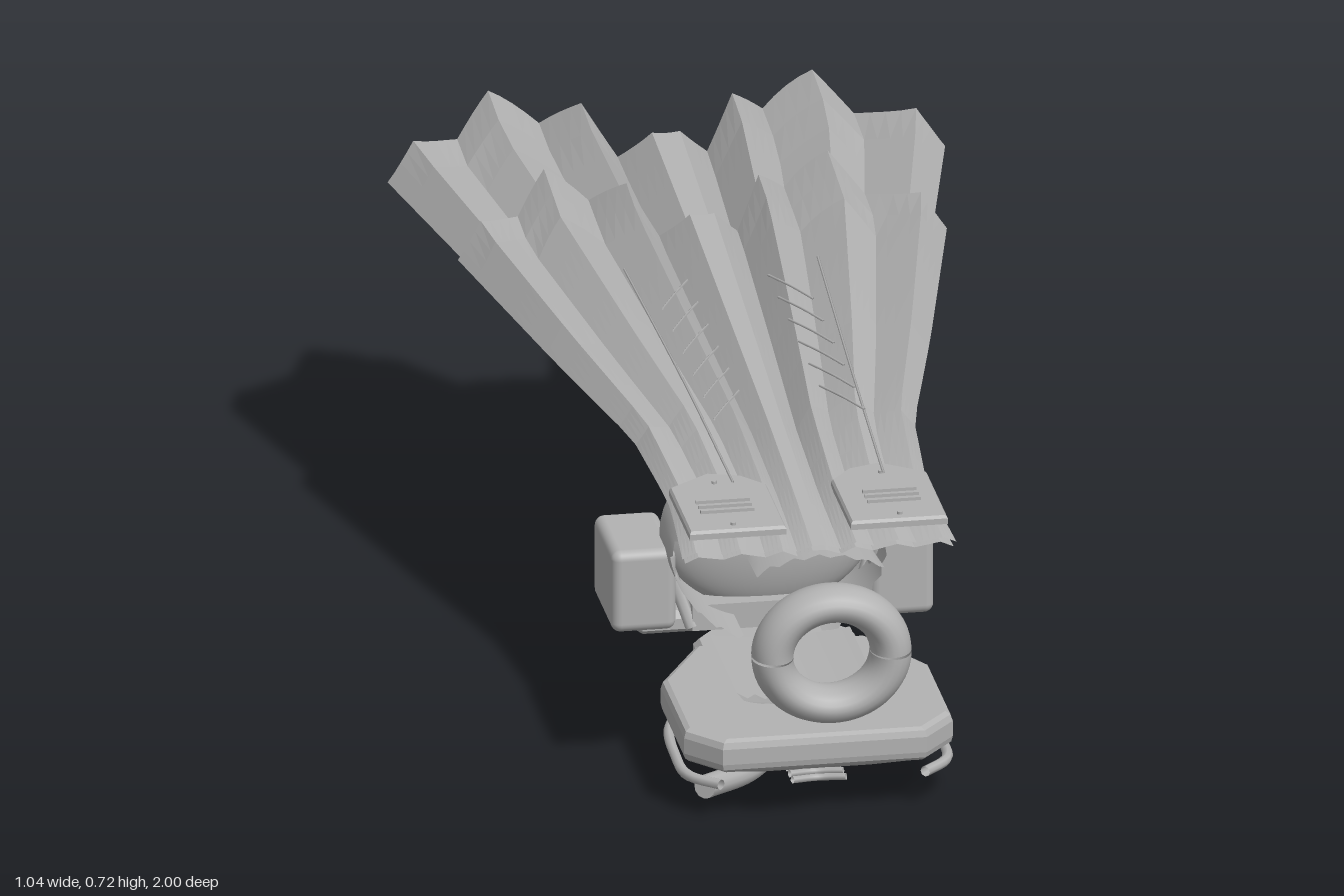
import * as THREE from 'three';
import { RoundedBoxGeometry } from 'three/addons/geometries/RoundedBoxGeometry.js';

const lerp = THREE.MathUtils.lerp;
const grey = new THREE.MeshStandardMaterial({ color: 0xb2b2b2, side: THREE.DoubleSide });
grey.name = 'plain grey';

// Piecewise linear lookup through [key, value] pairs with rising keys
function lookup(pairs, k) {
  if (k <= pairs[0][0]) return pairs[0][1];
  for (let i = 1; i < pairs.length; i++) {
    const [a, va] = pairs[i - 1], [b, vb] = pairs[i];
    if (k <= b) return lerp(va, vb, (k - a) / (b - a));
  }
  return pairs[pairs.length - 1][1];
}

// Faceted or smooth grid surface from rows of [x, y, z] points
function grid(rows, { closed = false, caps = false, smooth = false } = {}) {
  const pos = [], index = [], n = rows[0].length;
  rows.forEach(r => r.forEach(p => pos.push(...p)));
  for (let i = 0; i < rows.length - 1; i++) {
    for (let j = 0; j < (closed ? n : n - 1); j++) {
      const a = i * n + j, b = i * n + (j + 1) % n;
      index.push(a, b, b + n, a, b + n, a + n);
    }
  }
  if (caps) {
    const last = (rows.length - 1) * n;
    for (let j = 1; j < n - 1; j++) {
      index.push(0, j + 1, j, last, last + j, last + j + 1);
    }
  }
  let g = new THREE.BufferGeometry();
  g.setAttribute('position', new THREE.Float32BufferAttribute(pos, 3));
  g.setIndex(index);
  if (!smooth) g = g.toNonIndexed();
  g.computeVertexNormals();
  return g;
}

// Solid made of a plan outline stacked at levels of [y, scale]; the plan runs counterclockwise from above
function stack(plan, levels, cx, cz) {
  return grid(levels.map(([y, s]) => plan.map(([x, z]) =>
    [cx + (x - cx) * s, y, cz + (z - cz) * s])), { closed: true, caps: true });
}

// Mirror a plan to side s, keeping its direction
const mirrorPlan = (plan, s) => (s > 0 ? plan : plan.map(([x, z]) => [-x, z]).reverse());

function tube(points, r, sides = 6, steps = 16) {
  const path = new THREE.CatmullRomCurve3(points.map(p => new THREE.Vector3(...p)));
  return new THREE.TubeGeometry(path, steps, r, sides);
}

// Pleated cape layer; pleat heights run from centre to edge
const PLEATS = [[0, 0.8], [0.05, 0.8], [0.16, 0], [0.27, 1], [0.4, 0.2], [0.58, 1], [0.71, 0.25], [0.9, 0.9], [1, 0]];
function capeLayer({ width, base, slope, hemZ, hemDip, gain }) {
  const us = [];
  for (let i = 0; i < PLEATS.length - 1; i++) {
    for (let k = 0; k < 4; k++) us.push(lerp(PLEATS[i][0], PLEATS[i + 1][0], k / 4));
  }
  us.push(1);
  const all = [...us.slice(1).reverse().map(u => -u), ...us];
  const rows = [];
  for (let i = 0; i <= 16; i++) {
    rows.push(all.map(u => {
      const a = Math.abs(u);
      const hem = hemZ - hemDip * Math.sin(Math.PI * a) ** 2;
      const z = lerp(0.82, hem, i / 16), run = 0.82 - z;
      return [u * lookup(width, z), base + slope * run + (0.012 + gain * run) * lookup(PLEATS, a), z];
    }));
  }
  return grid(rows);
}

export function createModel() {
  const model = new THREE.Group();
  const add = (name, geometry, parent = model) => {
    const m = new THREE.Mesh(geometry, grey);
    m.name = name;
    parent.add(m);
    return m;
  };

  // Two overlapping cape layers
  add('longCape', capeLayer({
    width: [[-0.82, 0.52], [-0.43, 0.425], [0, 0.32], [0.3, 0.255], [0.6, 0.235], [0.82, 0.25]],
    base: 0.497, slope: 0.075, hemZ: -0.815, hemDip: 0.185, gain: 0.04,
  }));
  add('shortCape', capeLayer({
    width: [[-0.43, 0.455], [0, 0.35], [0.2, 0.297], [0.33, 0.262], [0.6, 0.24], [0.82, 0.255]],
    base: 0.506, slope: 0.087, hemZ: -0.43, hemDip: 0.19, gain: 0.048,
  }));

  // Collar ring in two halves with a seam at each side
  for (const half of [0, 1]) {
    const ring = new THREE.TorusGeometry(0.11, 0.0385, 20, 32, Math.PI - 0.04);
    ring.rotateZ(0.02 + half * Math.PI).scale(1, 0.9, 1.33);
    add('collarRing', ring).position.set(0, 0.355, 0.948);
  }

  // Upright lens behind the ring
  const lens = add('lens', new THREE.SphereGeometry(1, 40, 24));
  lens.scale.set(0.2, 0.163, 0.06);
  lens.position.set(0, 0.335, 0.26);

  // Torn front shell: a short sleeve with a long tongue at the top
  const shell = [];
  for (let i = 0; i <= 8; i++) {
    const row = [];
    for (let j = 0; j <= 72; j++) {
      const a = -1.2 + (Math.PI + 2.4) * j / 72, s = Math.sin(a);
      const jag = (j % 3) * 0.012;
      const front = jag + (s > 0.8 ? 0.82 : lookup([[-0.9, 0.43], [-0.5, 0.39], [0, 0.37], [0.5, 0.38], [0.8, 0.44]], s));
      const z = lerp(0.26, front, i / 8);
      const flare = s < 0 ? 1 : lookup([[0.26, 1], [0.42, 0.8], [0.85, 1.05]], z);
      row.push([0.2 * lerp(1, flare, Math.max(s, 0)) * Math.cos(a), 0.335 + 0.158 * flare * s, z]);
    }
    shell.push(row);
  }
  add('frontShell', grid(shell, { smooth: true }));

  // Torn sheet lying on the base
  const scrap = [];
  for (let i = 0; i <= 6; i++) {
    const row = [];
    for (let j = 0; j <= 16; j++) {
      const x = -0.13 + 0.26 * j / 16, z = lerp(0.4, 0.83 + (j % 2) * 0.035, i / 6);
      row.push([x, 0.17 + 0.6 * x * x + (z > 0.72 ? (z - 0.72) * 0.35 : 0), z]);
    }
    scrap.push(row);
  }
  add('tornSheet', grid(scrap));

  // Open curved band behind the lens with ragged sides
  const band = [[0.26, 0.46], [0.16, 0.49], [0.06, 0.505], [-0.02, 0.49], [-0.06, 0.43],
    [-0.085, 0.36], [-0.095, 0.3], [-0.075, 0.23], [-0.03, 0.18], [0.08, 0.168]];
  const bandRows = band.map(([z, y], i) => {
    const w = 0.075 + (i % 2) * 0.035, row = [];
    for (let j = 0; j <= 8; j++) {
      const t = j / 4 - 1, k = 1 - 0.16 * t * t;
      row.push([w * t, 0.335 + (y - 0.335) * k, 0.1 + (z - 0.1) * k]);
    }
    return row;
  });
  add('rearBand', grid(bandRows));
  for (let i = 0; i < 3; i++) {
    const spike = add('bandSpike', new THREE.ConeGeometry(0.022, 0.05, 3));
    spike.position.set((i % 2 ? 1 : -1) * 0.05, 0.25 + i * 0.045, -0.1);
    spike.rotation.x = -Math.PI / 2;
  }

  // Chamfered base with a tapered pan below
  const plan = [[-0.19, 0.88], [0.19, 0.88], [0.25, 0.81], [0.25, 0.56], [0.16, 0.4], [-0.16, 0.4], [-0.25, 0.56], [-0.25, 0.81]];
  add('base', stack(plan, [[0.1, 0.96], [0.107, 0.99], [0.118, 1], [0.148, 1], [0.16, 0.985], [0.165, 0.95]], 0, 0.63));
  add('basePan', stack(plan, [[0.055, 0.55], [0.1, 0.95]], 0, 0.63));
  const tailPlan = [[-0.15, 0.46], [0.15, 0.46], [0.15, 0.33], [0.11, 0.28], [-0.11, 0.28], [-0.15, 0.33]];
  add('baseTail', stack(tailPlan, [[0.075, 0.6], [0.11, 0.94], [0.12, 1], [0.137, 1], [0.15, 0.93]], 0, 0.43));
  add('rearStep', new THREE.BoxGeometry(0.3, 0.05, 0.05)).position.set(0, 0.185, 0.3);

  // Underside pipe, knob and curved vents
  const pipe = [[-0.21, 0.045, 0.8], [-0.1, 0.023, 0.67], [0, 0.035, 0.52], [0.07, 0.045, 0.42]];
  add('underPipe', tube(pipe, 0.022, 12, 24));
  add('pipeTip', tube([[0.05, 0.043, 0.45], [0.12, 0.055, 0.38], [0.175, 0.05, 0.33]], 0.011, 8));
  const cap = add('pipeCap', new THREE.CircleGeometry(0.022, 12));
  cap.position.set(...pipe[0]);
  cap.lookAt(-0.32, 0.067, 0.93);
  const knob = add('underKnob', new THREE.SphereGeometry(1, 24, 16));
  knob.scale.set(0.037, 0.018, 0.037);
  knob.position.set(0, 0.028, 0.67);
  for (let i = 0; i < 4; i++) {
    const z = 0.71 + i * 0.03;
    add('underVent', tube([[-0.05, 0.056, z + 0.02], [0, 0.05, z], [0.05, 0.056, z + 0.02]], 0.007));
  }

  // Parts repeated on both sides
  for (const s of [1, -1]) {
    const side = new THREE.Group();
    side.name = s > 0 ? 'leftSide' : 'rightSide';
    model.add(side);

    add('sideBox', new RoundedBoxGeometry(0.12, 0.16, 0.205, 4, 0.018), side).position.set(s * 0.24, 0.245, 0.228);

    // Faceted rear foot
    const foot = mirrorPlan([[0.13, 0.25], [0.23, 0.25], [0.27, 0.17], [0.26, 0.0], [0.2, -0.1], [0.14, -0.1], [0.1, 0.0], [0.1, 0.18]], s);
    add('rearFoot', stack(foot, [[0.085, 0.35], [0.125, 0.93], [0.135, 1], [0.155, 1], [0.167, 0.92]], s * 0.18, 0.07), side);

    // Rail following the base outline
    add('baseRail', tube([[0.19, 0.072, 0.86], [0.24, 0.07, 0.8], [0.247, 0.07, 0.7], [0.235, 0.075, 0.57], [0.17, 0.08, 0.45]]
      .map(([x, y, z]) => [s * x, y, z]), 0.01, 8, 24), side);

    // Strut from the base up to the lens
    add('lensStrut', tube([[s * 0.15, 0.165, 0.32], [s * 0.165, 0.21, 0.3], [s * 0.19, 0.28, 0.28]], 0.012, 6), side);

    // Chamfered shoulder plate with slots and rivets
    const plate = mirrorPlan([[0.06, 0.815], [0.24, 0.815], [0.24, 0.59], [0.16, 0.53], [0.1, 0.55], [0.06, 0.6]], s);
    add('shoulderPlate', stack(plate, [[0.54, 1], [0.551, 1], [0.556, 0.96]], s * 0.15, 0.68), side);
    for (const z of [0.678, 0.702, 0.727]) {
      add('plateSlot', new THREE.BoxGeometry(0.1, 0.008, 0.006), side).position.set(s * 0.155, 0.558, z);
    }
    for (const z of [0.585, 0.79]) {
      add('plateRivet', new THREE.CylinderGeometry(0.005, 0.005, 0.008, 8), side).position.set(s * 0.155, 0.557, z);
    }

    // Fine branching sprig above the cape
    add('sprigStem', tube([[s * 0.14, 0.603, 0.7], [s * 0.155, 0.63, 0.3], [s * 0.18, 0.657, -0.23]], 0.0025, 4), side);
    for (let i = 0; i < 6; i++) {
      const z = 0.5 - i * 0.11;
      add('sprigTwig', tube([[s * 0.14, 0.648, z], [s * 0.11, 0.654, z - 0.05], [s * 0.075, 0.656, z - 0.11]], 0.0025, 4, 6), side);
    }
  }
  return model;
}
